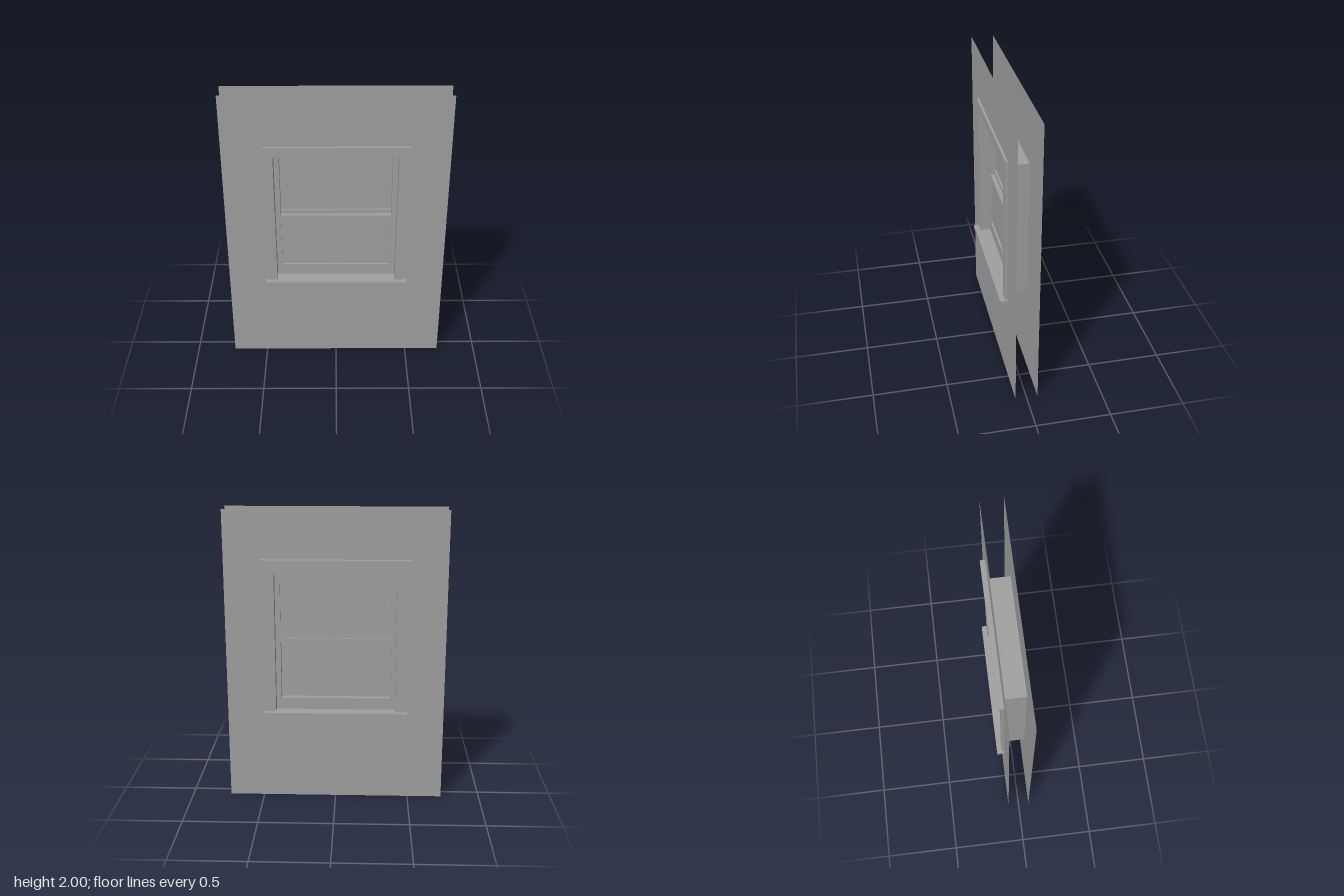
import * as THREE from 'three';

const grey = new THREE.MeshStandardMaterial({ color: 0xa0a0a0, side: THREE.DoubleSide });
grey.name = 'plain grey';

// Main measures
const WALL_Z = 0.075, HALF_W = 0.735, HEIGHT = 2;
const OPEN = { x: 0.404, y0: 0.63, y1: 1.584 };   // opening in the wall
const SASH = { x: 0.37, y0: 0.71, y1: 1.55 };     // clear glazed area
const FRAME_BACK = -0.04, FRAME_FRONT = 0.02, MID_Z = -0.01;

function rectPath(Type, x, y0, y1) {
  return new Type([
    new THREE.Vector2(-x, y0), new THREE.Vector2(x, y0),
    new THREE.Vector2(x, y1), new THREE.Vector2(-x, y1),
  ]);
}

export function createModel() {
  const model = new THREE.Group();
  model.name = 'windowInWall';

  function add(name, geometry) {
    const mesh = new THREE.Mesh(geometry, grey);
    mesh.name = name;
    model.add(mesh);
    return mesh;
  }

  // Box given by its limits on each axis
  function box(name, x0, x1, y0, y1, z0, z1) {
    const mesh = add(name, new THREE.BoxGeometry(x1 - x0, y1 - y0, z1 - z0));
    mesh.position.set((x0 + x1) / 2, (y0 + y1) / 2, (z0 + z1) / 2);
    return mesh;
  }

  // Two thin wall faces with the window opening cut out
  for (const side of [1, -1]) {
    const shape = rectPath(THREE.Shape, HALF_W, 0, HEIGHT);
    shape.holes.push(rectPath(THREE.Path, OPEN.x, OPEN.y0, OPEN.y1));
    const wall = add(side > 0 ? 'frontWall' : 'backWall', new THREE.ShapeGeometry(shape));
    wall.position.z = side * WALL_Z;
    if (side < 0) wall.rotation.y = Math.PI;
  }

  // Reveal sheets lining the opening between the wall faces
  const openH = OPEN.y1 - OPEN.y0, openMid = (OPEN.y0 + OPEN.y1) / 2;
  for (const side of [1, -1]) {
    const jamb = add(side > 0 ? 'leftReveal' : 'rightReveal', new THREE.PlaneGeometry(2 * WALL_Z, openH));
    jamb.position.set(side * OPEN.x, openMid, 0);
    jamb.rotation.y = -side * Math.PI / 2;
    const ledge = add(side > 0 ? 'topReveal' : 'bottomReveal', new THREE.PlaneGeometry(2 * OPEN.x, 2 * WALL_Z));
    ledge.position.y = side > 0 ? OPEN.y1 : OPEN.y0;
    ledge.rotation.x = side * Math.PI / 2;
  }

  // Casing around three sides of the opening, and a sill, on both wall faces
  for (const side of [1, -1]) {
    const end = side > 0 ? 'front' : 'back';
    const casing = new THREE.Shape([
      [-0.47, 0.63], [-OPEN.x, 0.63], [-OPEN.x, OPEN.y1], [OPEN.x, OPEN.y1],
      [OPEN.x, 0.63], [0.47, 0.63], [0.47, 1.65], [-0.47, 1.65],
    ].map(([x, y]) => new THREE.Vector2(x, y)));
    const trim = add(end + 'Casing', new THREE.ExtrudeGeometry(casing, { depth: 0.016, bevelEnabled: false }));
    trim.position.z = side * WALL_Z;
    if (side < 0) trim.rotation.y = Math.PI;
    const z0 = side > 0 ? WALL_Z : -0.125;
    box(end + 'Sill', -0.484, 0.484, 0.6, 0.63, z0, z0 + 0.05);
  }

  // Head moulding above the back casing
  box('headMoulding', -0.492, 0.492, 1.65, 1.675, -0.109, -WALL_Z);

  // Fixed frame around the glazed area
  const frame = rectPath(THREE.Shape, OPEN.x, OPEN.y0, OPEN.y1);
  frame.holes.push(rectPath(THREE.Path, SASH.x, SASH.y0, SASH.y1));
  const frameMesh = add('windowFrame', new THREE.ExtrudeGeometry(frame,
    { depth: FRAME_FRONT - FRAME_BACK, bevelEnabled: false }));
  frameMesh.position.z = FRAME_BACK;

  // Meeting rails: the upper one sits behind the lower one
  box('upperMeetingRail', -SASH.x, SASH.x, 1.105, 1.133, FRAME_BACK, MID_Z);
  box('lowerMeetingRail', -SASH.x, SASH.x, 1.08, 1.105, MID_Z, FRAME_FRONT);

  // Glass with a central glazing bar in each sash
  const sashes = [
    { name: 'upper', y0: 1.133, y1: SASH.y1, z: -0.025 },
    { name: 'lower', y0: SASH.y0, y1: 1.08, z: 0.004 },
  ];
  for (const { name, y0, y1, z } of sashes) {
    box(name + 'Glass', -SASH.x, SASH.x, y0, y1, z - 0.002, z + 0.002);
    box(name + 'GlazingBar', -0.008, 0.008, y0, y1, z - 0.012, z + 0.012);
  }

  return model;
}
